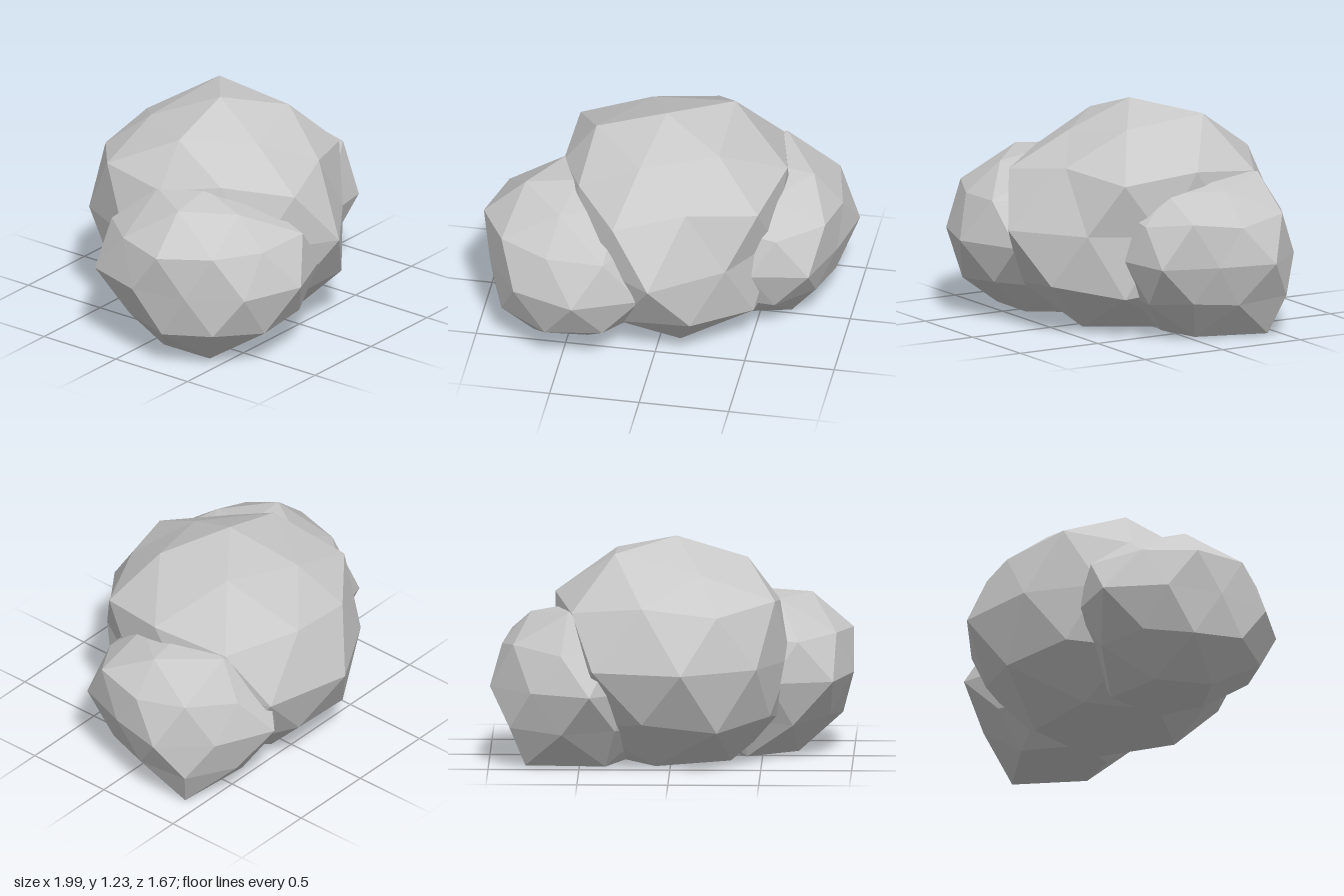
import * as THREE from 'three';

const stone = new THREE.MeshStandardMaterial({ color: 0xc9c9c9, flatShading: true });
stone.name = 'grey stone';

// A boulder is an icosphere built from rings around a vertical axis:
// tip, cap (5), shoulder (10), waist (10), foot (10), base (5), underside.
// Each ring lists the horizontal radius at every corner.
function boulder(name, o) {
  const point = (deg, r, y) => {
    const a = THREE.MathUtils.degToRad(deg);
    return [o.x + r * Math.cos(a), y, o.z + r * Math.sin(a)];
  };
  const tip = [o.x, o.top, o.z];
  const cap = o.cap.map((r, k) => point(o.turn + 72 * k, r, o.capY[k]));
  const shoulder = o.shoulder.map((r, j) => point(o.turn + 36 * j, r, o.shoulderY[j % 2]));
  const waist = o.waist.map((r, j) => point(o.turn + 18 + 36 * j, r, o.y));
  const foot = o.foot.map((r, j) => point(o.turn + 36 * j, r, o.footY[j % 2]));
  const base = o.base.map((r, k) => point(o.turn + 36 + 72 * k, r, 0.01));
  const under = [o.x, 0, o.z];

  const pos = [];
  const tri = (a, b, c) => pos.push(...a, ...b, ...c);
  for (let k = 0; k < 5; k++) {
    const n = (k + 1) % 5;
    const j = 2 * k, m = j + 1, e = (j + 2) % 10, p = (j + 9) % 10;
    // top
    tri(tip, cap[n], cap[k]);
    tri(cap[k], cap[n], shoulder[m]);
    tri(cap[k], shoulder[m], shoulder[j]);
    tri(cap[k], shoulder[j], shoulder[p]);
    // bottom
    tri(under, base[k], base[n]);
    tri(base[k], foot[e], base[n]);
    tri(base[k], foot[j], foot[m]);
    tri(base[k], foot[m], foot[e]);
  }
  // bands above and below the waist
  for (let j = 0; j < 10; j++) {
    const n = (j + 1) % 10;
    tri(shoulder[j], shoulder[n], waist[j]);
    tri(shoulder[n], waist[n], waist[j]);
    tri(foot[n], foot[j], waist[j]);
    tri(foot[n], waist[j], waist[n]);
  }
  const geo = new THREE.BufferGeometry();
  geo.setAttribute('position', new THREE.Float32BufferAttribute(pos, 3));
  geo.computeVertexNormals();
  const mesh = new THREE.Mesh(geo, stone);
  mesh.name = name;
  return mesh;
}

export function createModel() {
  const group = new THREE.Group();
  group.name = 'boulderCluster';

  group.add(boulder('mainBoulder', {
    x: -0.03, y: 0.575, z: -0.03, top: 1.23, turn: 33.5,
    cap: [0.4, 0.345, 0.39, 0.4, 0.43],
    capY: [1.13, 1.07, 1.11, 1.07, 1.17],
    shoulder: [0.69, 0.57, 0.69, 0.55, 0.57, 0.655, 0.66, 0.675, 0.73, 0.67],
    shoulderY: [0.87, 0.925],
    waist: [0.675, 0.805, 0.66, 0.63, 0.66, 0.72, 0.805, 0.82, 0.7, 0.66],
    foot: [0.66, 0.7, 0.62, 0.6, 0.6, 0.62, 0.66, 0.68, 0.66, 0.64],
    footY: [0.228, 0.28],
    base: [0.42, 0.36, 0.36, 0.41, 0.4],
  }));

  group.add(boulder('rightBoulder', {
    x: -0.48, y: 0.45, z: 0.22, top: 0.9, turn: 101.5,
    cap: [0.28, 0.29, 0.27, 0.25, 0.27],
    capY: [0.84, 0.875, 0.88, 0.84, 0.83],
    shoulder: [0.48, 0.5, 0.52, 0.49, 0.53, 0.46, 0.42, 0.42, 0.42, 0.55],
    shoulderY: [0.675, 0.69],
    waist: [0.56, 0.5, 0.53, 0.61, 0.54, 0.46, 0.44, 0.45, 0.63, 0.615],
    foot: [0.5, 0.5, 0.46, 0.45, 0.46, 0.42, 0.42, 0.42, 0.45, 0.53],
    footY: [0.2, 0.23],
    base: [0.29, 0.25, 0.32, 0.25, 0.22],
  }));

  group.add(boulder('leftBoulder', {
    x: 0.47, y: 0.44, z: -0.15, top: 0.88, turn: -75,
    cap: [0.355, 0.3, 0.26, 0.25, 0.27],
    capY: [0.87, 0.83, 0.81, 0.82, 0.82],
    shoulder: [0.49, 0.505, 0.46, 0.49, 0.45, 0.42, 0.42, 0.42, 0.42, 0.47],
    shoulderY: [0.65, 0.69],
    waist: [0.54, 0.56, 0.47, 0.55, 0.48, 0.43, 0.42, 0.42, 0.48, 0.605],
    foot: [0.48, 0.53, 0.42, 0.42, 0.42, 0.42, 0.4, 0.4, 0.42, 0.47],
    footY: [0.21, 0.23],
    base: [0.42, 0.24, 0.2, 0.25, 0.32],
  }));

  return group;
}
